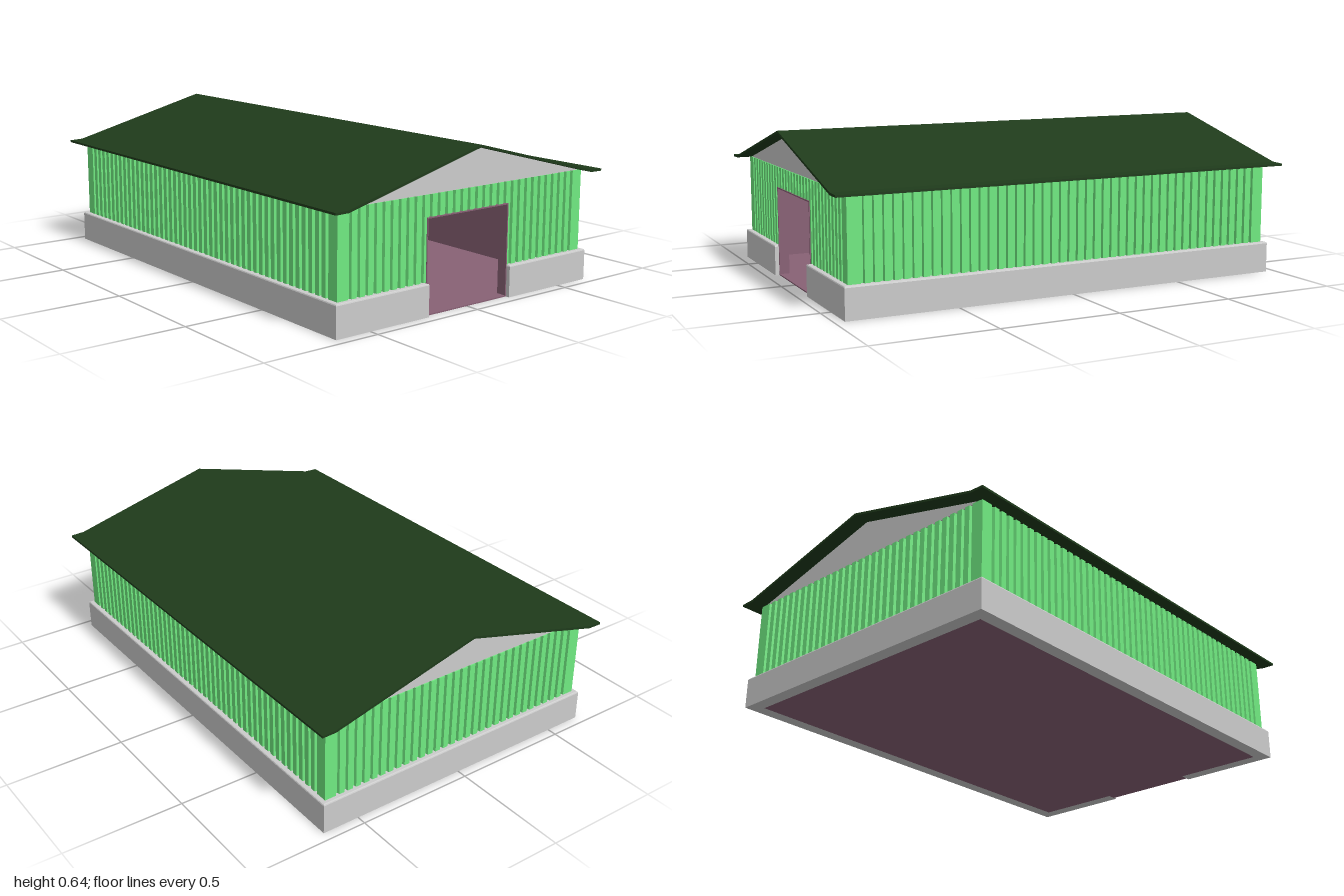
import * as THREE from 'three';

const paint = (color) => new THREE.MeshStandardMaterial({ color, flatShading: true });
const GREY = paint(0xcccccc), GREEN = paint(0x70ea81), ROOF = paint(0x1f3b1b), PLUM = paint(0x886175);

// Main dimensions
const WX = 0.94, WZ = 0.64;        // outer wall half sizes
const PX = 0.96, PZ = 0.66;        // plinth half sizes
const IX = 0.905, IZ = 0.605;      // interior half sizes
const BASE = 0.13, EAVE = 0.466, RIDGE = 0.64;
const DOOR = 0.215, DOOR_TOP = 0.38;

const polygon = (pts) => new THREE.Shape(pts.map(([x, y]) => new THREE.Vector2(x, y)));

function add(parent, name, geometry, material) {
  const mesh = new THREE.Mesh(geometry, material);
  mesh.name = name;
  parent.add(mesh);
  return mesh;
}

// Box given by its minimum and maximum corners
function boxBetween(parent, name, a, b, material) {
  const mesh = add(parent, name, new THREE.BoxGeometry(b[0] - a[0], b[1] - a[1], b[2] - a[2]), material);
  mesh.position.set((a[0] + b[0]) / 2, (a[1] + b[1]) / 2, (a[2] + b[2]) / 2);
  return mesh;
}

// Profile in the z-y plane, swept along x and centred
function sweepAlongX(pts, length) {
  const geometry = new THREE.ExtrudeGeometry(polygon(pts), { depth: length, bevelEnabled: false });
  geometry.translate(0, 0, -length / 2);
  geometry.rotateY(Math.PI / 2);
  return geometry;
}

// Ribbed sheet from u0 to u1, ribs facing +z, outer face on z = 0
function corrugated(u0, u1, y0, y1) {
  const count = Math.round((u1 - u0) / 0.039), pitch = (u1 - u0) / count, depth = 0.012;
  const pts = [[u0, 0]];
  for (let i = 0; i < count; i++) {
    const u = u0 + i * pitch;
    pts.push([u + pitch * 0.3, 0], [u + pitch * 0.36, depth], [u + pitch * 0.64, depth], [u + pitch * 0.7, 0]);
  }
  pts.push([u1, 0], [u1, 0.03], [u0, 0.03]);
  const geometry = new THREE.ExtrudeGeometry(polygon(pts), { depth: y1 - y0, bevelEnabled: false });
  geometry.rotateX(-Math.PI / 2);
  geometry.translate(0, y0, 0);
  return geometry;
}

// C-shaped foundation wall with a gap at the doorway and softened top edges
function plinthGeometry() {
  const bevel = 0.006;
  const shape = polygon([
    [PX, DOOR], [PX, PZ], [-PX, PZ], [-PX, -PZ], [PX, -PZ], [PX, -DOOR],
    [IX, -DOOR], [IX, -IZ], [-IX, -IZ], [-IX, IZ], [IX, IZ], [IX, DOOR],
  ]);
  const geometry = new THREE.ExtrudeGeometry(shape, {
    depth: BASE - bevel, bevelSize: bevel, bevelThickness: bevel, bevelOffset: -bevel, bevelSegments: 2,
  });
  geometry.rotateX(-Math.PI / 2);
  // Flatten the lower bevel onto the ground
  const p = geometry.attributes.position;
  for (let i = 0; i < p.count; i++) p.setY(i, Math.max(0, p.getY(i)));
  geometry.computeVertexNormals();
  return geometry;
}

export function createModel() {
  const model = new THREE.Group();
  model.name = 'barn';

  add(model, 'plinth', plinthGeometry(), GREY);

  // Ribbed outer walls
  const walls = new THREE.Group();
  walls.name = 'walls';
  model.add(walls);
  for (const side of [1, -1]) {
    const wall = add(walls, side > 0 ? 'frontWall' : 'backWall', corrugated(-WX, WX, BASE, EAVE), GREEN);
    wall.position.z = side * WZ;
    if (side < 0) wall.rotation.y = Math.PI;
  }
  const farEnd = add(walls, 'closedEndWall', corrugated(-WZ, WZ, BASE, EAVE), GREEN);
  farEnd.position.x = -WX;
  farEnd.rotation.y = -Math.PI / 2;
  const doorEnd = new THREE.Group();
  doorEnd.name = 'doorEndWall';
  doorEnd.position.x = WX;
  doorEnd.rotation.y = Math.PI / 2;
  walls.add(doorEnd);
  add(doorEnd, 'wallBesideDoor', corrugated(-WZ, -DOOR, BASE, EAVE), GREEN);
  add(doorEnd, 'wallBesideDoor', corrugated(DOOR, WZ, BASE, EAVE), GREEN);
  add(doorEnd, 'wallAboveDoor', corrugated(-DOOR, DOOR, DOOR_TOP, EAVE), GREEN);

  // Interior lining
  const room = new THREE.Group();
  room.name = 'interior';
  model.add(room);
  const t = 0.005, top = EAVE - 0.001;
  boxBetween(room, 'floor', [-IX, 0, -IZ], [IX, t, IZ], PLUM);
  boxBetween(room, 'ceiling', [-IX, top - t, -IZ], [IX, top, IZ], PLUM);
  boxBetween(room, 'closedEndLining', [-IX, t, -IZ], [-IX + t, top - t, IZ], PLUM);
  for (const s of [1, -1]) {
    const z = s * (IZ - t / 2);
    boxBetween(room, 'sideLining', [-IX, t, z - t / 2], [IX, top - t, z + t / 2], PLUM);
    const mid = s * (DOOR + IZ) / 2, half = (IZ - DOOR) / 2;
    boxBetween(room, 'doorEndLining', [IX - t, t, mid - half], [IX, top - t, mid + half], PLUM);
  }
  boxBetween(room, 'liningAboveDoor', [IX - t, DOOR_TOP, -DOOR], [IX, top - t, DOOR], PLUM);

  // Thin door frame and threshold
  const frame = new THREE.Group();
  frame.name = 'doorFrame';
  model.add(frame);
  const out = WX + 0.003;
  boxBetween(frame, 'threshold', [IX, 0, -DOOR], [out, t, DOOR], PLUM);
  boxBetween(frame, 'lintel', [IX - t, DOOR_TOP - t, -DOOR], [out, DOOR_TOP, DOOR], PLUM);
  for (const s of [1, -1]) {
    const z = s * (DOOR - t / 2);
    boxBetween(frame, 'jamb', [IX - t, t, z - t / 2], [out, DOOR_TOP - t, z + t / 2], PLUM);
  }

  // Gable ends in one prism under the roof
  add(model, 'gables', sweepAlongX([[-0.635, EAVE], [0.635, EAVE], [0, RIDGE - 0.008]], 2 * WX - 0.01), GREY);

  // Thin folded roof with flat eave lips
  const roofProfile = [
    [-0.695, 0.463], [-0.635, 0.464], [0, RIDGE - 0.01], [0.635, 0.464], [0.695, 0.463],
    [0.695, 0.472], [0.635, 0.474], [0, RIDGE], [-0.635, 0.474], [-0.695, 0.472],
  ];
  add(model, 'roof', sweepAlongX(roofProfile, 2), ROOF);

  return model;
}
